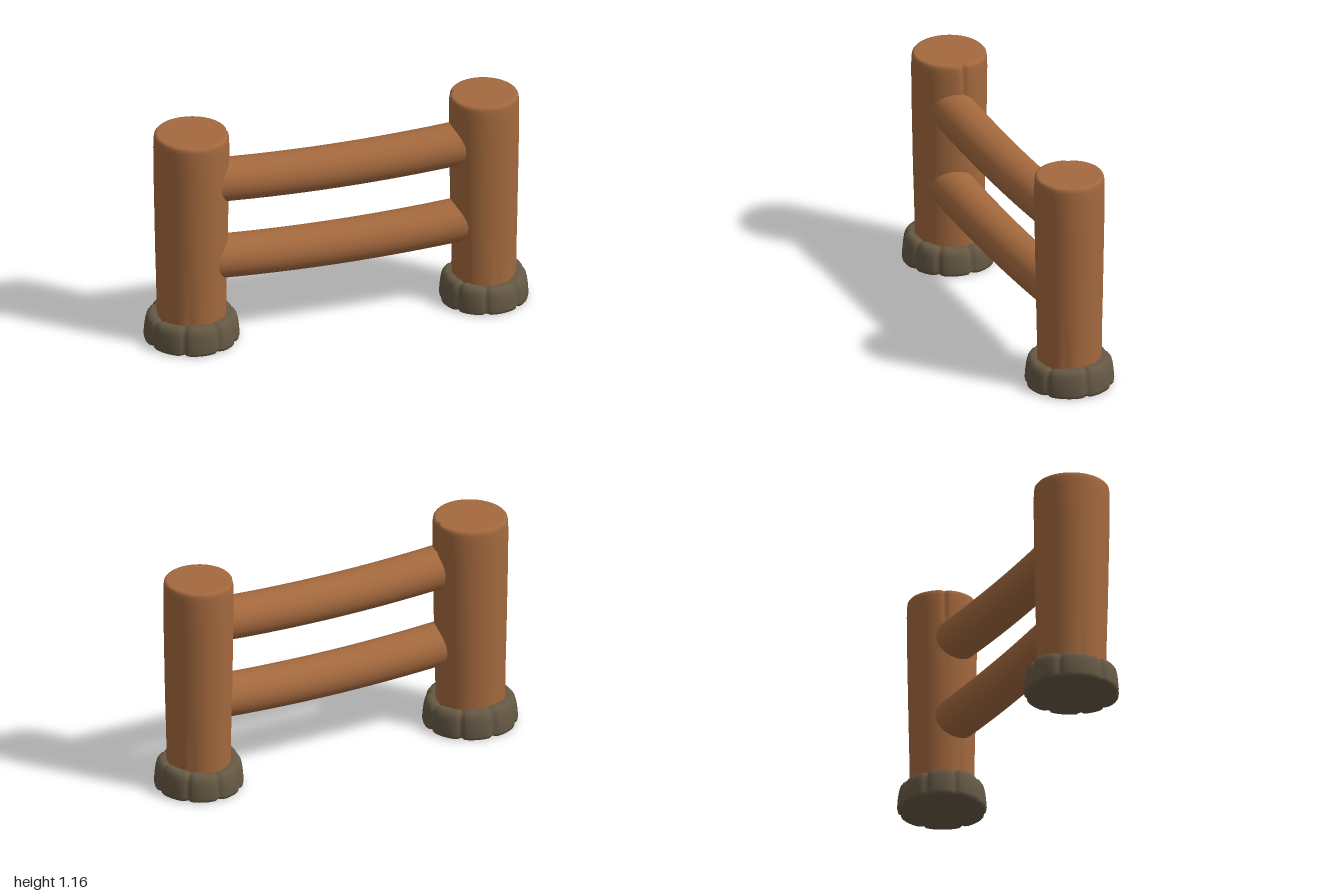
import * as THREE from 'three';
import { mergeVertices } from 'three/addons/utils/BufferGeometryUtils.js';

const wood = new THREE.MeshStandardMaterial({ color: 0xa4693e });
wood.name = 'brown wood';
const stone = new THREE.MeshStandardMaterial({ color: 0x665945 });
stone.name = 'grey stone';

const rad = THREE.MathUtils.degToRad;

// Soft dip (0..1) around a given angle
function dip(angle, centre, width) {
  const d = Math.atan2(Math.sin(angle - centre), Math.cos(angle - centre));
  return Math.exp(-((d / width) ** 2));
}

// Turned solid whose radius and height are reshaped by angle (0 = +z, 90 = +x)
function turned(profile, rule) {
  const geo = new THREE.LatheGeometry(profile.map(([r, y]) => new THREE.Vector2(r, y)), 120);
  geo.deleteAttribute('uv');
  geo.deleteAttribute('normal');
  const p = geo.attributes.position;
  for (let i = 0; i < p.count; i++) {
    const [rScale, yScale] = rule(Math.atan2(p.getX(i), p.getZ(i)), p.getY(i));
    p.setXYZ(i, p.getX(i) * rScale, p.getY(i) * yScale, p.getZ(i) * rScale);
  }
  const merged = mergeVertices(geo, 1e-5);
  merged.computeVertexNormals();
  return merged;
}

function makePost(name, x, z, r, baseR, splitAngle, seams) {
  const group = new THREE.Group();
  group.name = name;
  group.position.set(x, 0, z);

  // Log: slightly wider towards the top, with worn edge, split and root creases
  const log = turned([
    [0, 0.03], [r * 0.92, 0.03], [r * 0.925, 0.15], [r * 0.935, 0.3], [r * 0.96, 0.5],
    [r * 0.98, 0.7], [r, 0.9], [r * 1.01, 1.08], [r, 1.135], [r * 0.985, 1.152],
    [r * 0.95, 1.16], [r * 0.9, 1.162], [0, 1.162],
  ], (a, y) => {
    const low = THREE.MathUtils.clamp(1 - y / 0.5, 0, 1);
    const high = THREE.MathUtils.clamp((y - 0.85) / 0.3, 0, 1);
    let s = 1 + 0.008 * Math.sin(3 * a + splitAngle) - 0.07 * high * dip(a, splitAngle, 0.07);
    for (const offset of [0.5, 2.1, 3.0, 4.4]) s -= 0.03 * low * dip(a, splitAngle + offset, 0.12);
    return [s, 1];
  });
  const logMesh = new THREE.Mesh(log, wood);
  logMesh.name = 'postLog';

  // Ring of rounded stones separated by narrow seams
  const b = baseR;
  const ring = turned([
    [0, 0.012], [b * 0.5, 0.01], [b * 0.94, 0.004], [b * 0.985, 0.008], [b, 0.025], [b * 0.985, 0.07],
    [b * 0.965, 0.105], [b * 0.94, 0.128], [b * 0.89, 0.145], [b * 0.82, 0.15],
    [b * 0.7, 0.148], [0, 0.14],
  ], (a, y) => {
    let s = 1.01, h = 1 + 0.05 * Math.sin(2 * a + splitAngle);
    for (const seam of seams) {
      s -= 0.022 * dip(a, rad(seam), 0.13) + 0.04 * dip(a, rad(seam), 0.04);
      h -= (y > 0.05 ? 0.07 : 0) * dip(a, rad(seam), 0.06);
      if (y < 0.015) h += 1.0 * dip(a, rad(seam), 0.05);
    }
    return [s, h];
  });
  const ringMesh = new THREE.Mesh(ring, stone);
  ringMesh.name = 'stoneBase';

  group.add(logMesh, ringMesh);
  return group;
}

// Sagging round rail whose ends sit inside the posts
function makeRail(name, endY, midY) {
  const curve = new THREE.QuadraticBezierCurve3(
    new THREE.Vector3(-0.7, endY, 0.031),
    new THREE.Vector3(0, 2 * midY - endY, 0.031),
    new THREE.Vector3(0.7, endY + 0.006, 0.031),
  );
  const rail = new THREE.Mesh(new THREE.TubeGeometry(curve, 24, 0.112, 40), wood);
  rail.name = name;
  return rail;
}

export function createModel() {
  const model = new THREE.Group();
  model.name = 'fence';
  model.add(
    makePost('rightPost', -0.758, -0.01, 0.19, 0.24, rad(88),
      [-27, 18, 52, 95, 140, 182, 228, 285]),
    makePost('leftPost', 0.776, 0.022, 0.176, 0.224, rad(-112),
      [-14, 34, 90, 137, 180, 222, 262, 305]),
    makeRail('upperRail', 0.899, 0.874),
    makeRail('lowerRail', 0.463, 0.439),
  );
  return model;
}
